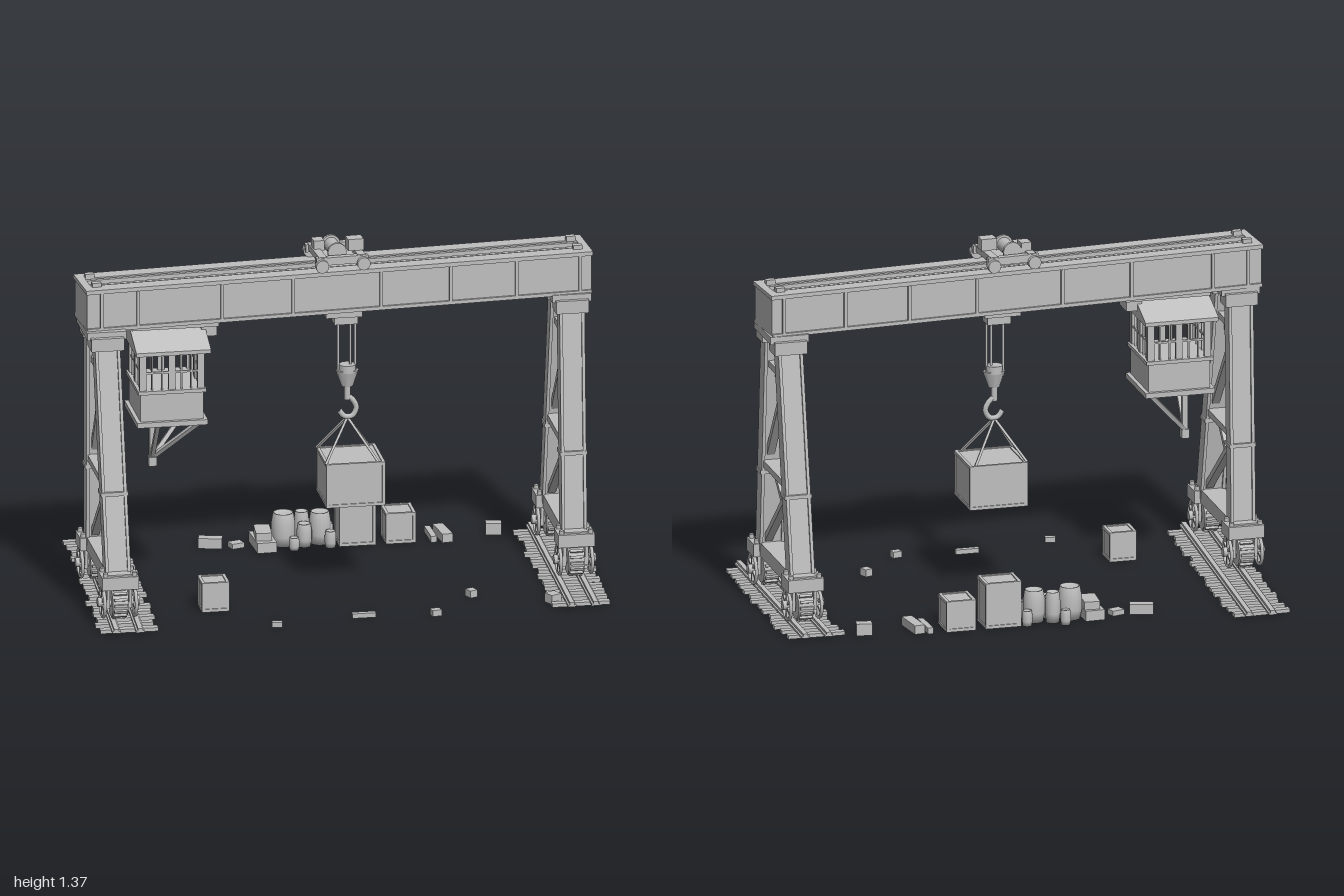
import * as THREE from 'three';

const steel = new THREE.MeshStandardMaterial({ color: 0xbfbfbf });
steel.name = 'plain grey';

// Seeded jitter for loosely laid pieces
let seed = 7;
const jitter = (a) => {
  seed = (seed * 16807) % 2147483647;
  return (seed / 2147483647 - 0.5) * 2 * a;
};

function add(parent, name, geo, x = 0, y = 0, z = 0) {
  const m = new THREE.Mesh(geo, steel);
  m.name = name;
  m.position.set(x, y, z);
  parent.add(m);
  return m;
}
function group(parent, name, x = 0, y = 0, z = 0) {
  const g = new THREE.Group();
  g.name = name;
  g.position.set(x, y, z);
  parent.add(g);
  return g;
}
const box = (p, name, w, h, d, x, y, z) => add(p, name, new THREE.BoxGeometry(w, h, d), x, y, z);
const rod = (p, name, r, h, x, y, z, n = 16) => add(p, name, new THREE.CylinderGeometry(r, r, h, n), x, y, z);
function axle(p, name, r, len, x, y, z, n = 16) {
  const m = rod(p, name, r, len, x, y, z, n);
  m.rotation.z = Math.PI / 2;
  return m;
}
// Bar from a to b; w is its size along x, d its size across
function bar(p, name, a, b, w, d) {
  const A = new THREE.Vector3(...a), B = new THREE.Vector3(...b);
  const dir = B.clone().sub(A), len = dir.length();
  dir.normalize();
  const m = box(p, name, w, len, d, 0, 0, 0);
  m.position.copy(A).add(B).multiplyScalar(0.5);
  m.quaternion.setFromUnitVectors(new THREE.Vector3(0, 1, 0), dir);
  return m;
}

// Track: two rails on loose sleepers
function track(root, x, z, len, yaw) {
  const g = group(root, 'track', x, 0, z);
  g.rotation.y = yaw;
  for (const s of [-1, 1]) {
    box(g, 'railFoot', 0.032, 0.008, len, s * 0.045, 0.016, 0);
    box(g, 'railHead', 0.018, 0.012, len, s * 0.045, 0.023, 0);
  }
  const n = Math.floor(len / 0.066);
  for (let i = 0; i < n; i++) {
    const t = box(g, 'sleeper', 0.22, 0.014, 0.03, jitter(0.012), 0.007, (i - (n - 1) / 2) * 0.066);
    t.rotation.y = -yaw + jitter(0.05);
  }
}

// Wheel unit: toothed wheel, outer rings, hub and housing
function bogie(frame, z) {
  const g = group(frame, 'wheelUnit', 0, 0.095, z);
  axle(g, 'wheel', 0.056, 0.06, 0, 0, 0, 24);
  for (let i = 0; i < 16; i++) {
    const a = (i / 16) * Math.PI * 2;
    const t = box(g, 'tooth', 0.05, 0.014, 0.01, 0, Math.cos(a) * 0.058, Math.sin(a) * 0.058);
    t.rotation.x = a;
  }
  axle(g, 'axle', 0.018, 0.16, 0, 0, 0);
  for (const s of [-1, 1]) {
    const ring = add(g, 'wheelRing', new THREE.TorusGeometry(0.055, 0.007, 8, 28), s * 0.06, 0, 0);
    ring.rotation.y = Math.PI / 2;
    for (let i = 0; i < 3; i++) {
      const spoke = box(g, 'spoke', 0.01, 0.11, 0.01, s * 0.06, 0, 0);
      spoke.rotation.x = (i * Math.PI) / 3;
    }
    box(g, 'sidePlate', 0.012, 0.1, 0.055, s * 0.042, 0.03, 0);
  }
  box(g, 'housing', 0.14, 0.05, 0.1, 0, 0.085, 0);
  for (const s of [-1, 1]) for (const t of [-1, 1]) rod(g, 'bolt', 0.01, 0.02, s * 0.055, 0.115, t * 0.035, 8);
}

// Trestle: two leaning legs, bottom beam and cross bracing
function trestle(root, x, z, topShift, lean) {
  const g = group(root, 'trestle', x, 0, z);
  const at = (s, y) => [lean * (y - 0.2), y, s * (0.215 - (y - 0.18) * 0.142) + topShift * ((y - 0.18) / 0.9)];
  for (const s of [-1, 1]) {
    bogie(g, s * 0.24);
    const a = at(s, 0.18), b = at(s, 1.08);
    bar(g, 'legWeb', a, b, 0.075, 0.045);
    for (const e of [-1, 1]) {
      const o = (p) => [p[0] + e * 0.042, p[1], p[2]];
      bar(g, 'legFlange', o(a), o(b), 0.012, 0.062);
    }
    const f = at(s, 0.5);
    box(g, 'legSplice', 0.105, 0.015, 0.065, ...f);
    const c = at(s, 1.06);
    box(g, 'legCap', 0.125, 0.05, 0.085, ...c);
  }
  box(g, 'bottomBeam', 0.09, 0.055, 0.55, 0, 0.183, 0);
  const c = at(0, 1.09);
  box(g, 'headPlate', 0.15, 0.03, 0.23, ...c);
  for (const [y, w] of [[0.535, 0.085], [0.94, 0.06]]) bar(g, 'crossTie', at(-1, y), at(1, y), w, 0.025);
  for (const [y0, y1] of [[0.21, 0.53], [0.55, 0.93]]) for (const s of [-1, 1]) {
    bar(g, 'diagonalBrace', at(s, y0), at(-s, y1), 0.03, 0.022).position.x += s * 0.012;
  }
}

// Bridge girder with webs, flanges, stiffeners and running rails
function bridge(g) {
  const L = 1.96;
  for (const s of [-1, 1]) {
    box(g, 'sideWeb', L - 0.02, 0.15, 0.012, 0, 1.18, s * 0.092);
    box(g, 'topFlange', L, 0.016, 0.06, 0, 1.257, s * 0.075);
    box(g, 'bottomFlange', L - 0.01, 0.014, 0.04, 0, 1.107, s * 0.087);
    box(g, 'runningRail', L - 0.06, 0.014, 0.016, 0, 1.256, s * 0.028);
    for (const x of [-0.92, -0.78, -0.455, -0.18, 0.16, 0.43, 0.685, 0.93])
      box(g, 'stiffener', 0.012, 0.14, 0.014, x, 1.18, s * 0.1);
    box(g, 'endWall', 0.014, 0.16, 0.19, s * (L / 2 - 0.012), 1.18, 0);
    box(g, 'endFlange', 0.03, 0.016, 0.21, s * (L / 2 - 0.015), 1.257, 0);
    for (const t of [-1, 1]) box(g, 'buffer', 0.035, 0.022, 0.025, s * 0.93, 1.27, t * 0.055);
  }
  box(g, 'upperDeck', L - 0.03, 0.01, 0.18, 0, 1.243, 0);
  box(g, 'lowerDeck', L - 0.03, 0.01, 0.18, 0, 1.125, 0);
}

// Trolley with wheels, drum and motor
function trolley(g) {
  for (const s of [-1, 1]) {
    box(g, 'trolleySideBeam', 0.2, 0.03, 0.025, 0, 1.305, s * 0.085);
    box(g, 'trolleyEndBeam', 0.03, 0.025, 0.19, s * 0.075, 1.31, 0);
    for (const t of [-1, 1]) {
      const w = rod(g, 'trolleyWheel', 0.025, 0.025, s * 0.08, 1.29, t * 0.1);
      w.rotation.x = Math.PI / 2;
    }
    const d = rod(g, 'drumFlange', 0.036, 0.012, -0.01, 1.325, s * 0.05, 20);
    d.rotation.x = Math.PI / 2;
  }
  box(g, 'trolleyBed', 0.13, 0.012, 0.16, 0, 1.3, 0);
  rod(g, 'drum', 0.027, 0.1, -0.01, 1.325, 0, 20).rotation.x = Math.PI / 2;
  box(g, 'motor', 0.06, 0.045, 0.05, 0.065, 1.345, 0.02);
  box(g, 'gearbox', 0.04, 0.04, 0.05, -0.065, 1.335, -0.03);
}

// Hoist: ropes, hook block, hook, slings
function hoist(g) {
  box(g, 'sheaveBox', 0.14, 0.04, 0.1, -0.02, 1.085, 0);
  box(g, 'sheaveHousing', 0.09, 0.035, 0.07, -0.01, 1.05, 0);
  for (const x of [-0.035, 0.012, 0.03]) rod(g, 'rope', 0.005, 0.27, x, 0.955, 0, 8);
  add(g, 'hookBlock', new THREE.CylinderGeometry(0.045, 0.022, 0.065, 8), 0, 0.81, 0).scale.z = 0.7;
  rod(g, 'blockTop', 0.032, 0.03, 0, 0.85, 0, 12);
  rod(g, 'hookShank', 0.012, 0.06, 0, 0.755, 0, 12);
  const pts = [[0, 0.74], [0.022, 0.72], [0.034, 0.69], [0.018, 0.66], [-0.012, 0.66], [-0.032, 0.685]];
  const path = new THREE.CatmullRomCurve3(pts.map(([x, y]) => new THREE.Vector3(x, y, 0)));
  add(g, 'hook', new THREE.TubeGeometry(path, 24, 0.011, 8));
  for (const s of [-1, 1]) for (const t of [-1, 1]) bar(g, 'sling', [0, 0.655, 0], [s * 0.1, 0.505, t * 0.1], 0.009, 0.009);
}

// Crate with a slightly raised frame on every edge
function crate(p, name, w, h, d, x, y, z, yaw = 0) {
  const g = group(p, name, x, y + h / 2, z), e = 0.012;
  g.rotation.y = yaw;
  box(g, 'crateBody', w - 0.008, h - 0.008, d - 0.008, 0, 0, 0);
  for (const s of [-1, 1]) for (const t of [-1, 1]) {
    const u = (v) => s * (v / 2 - e / 2), k = (v) => t * (v / 2 - e / 2);
    box(g, 'crateEdge', w, e, e, 0, u(h), k(d));
    box(g, 'crateEdge', e, h, e, u(w), 0, k(d));
    box(g, 'crateEdge', e, e, d, u(w), k(h), 0);
  }
}

// Operator cabin with open windows, gable roof and prop
function cabin(root) {
  const g = group(root, 'cabin', -0.657, 0, 0.125);
  const W = 0.24, D = 0.25;
  box(g, 'cabinFloor', W + 0.03, 0.02, D + 0.03, 0, 0.725, 0);
  box(g, 'cabinSill', W + 0.02, 0.014, D + 0.02, 0, 0.85, 0);
  const wall = (yaw, width, off) => {
    const f = group(g, 'cabinWall');
    f.rotation.y = yaw;
    box(f, 'lowerWall', width, 0.13, 0.012, 0, 0.785, off);
    box(f, 'header', width, 0.03, 0.012, 0, 1.005, off);
    for (const x of [-0.46, 0, 0.46]) box(f, 'windowPost', 0.026, 0.15, 0.014, x * width, 0.925, off);
    for (const x of [-0.31, -0.155, 0.155, 0.31]) box(f, 'windowBar', 0.006, 0.14, 0.008, x * width, 0.925, off);
    box(f, 'windowBar', width, 0.007, 0.008, 0, 0.925, off);
  };
  for (let i = 0; i < 4; i++) wall((i * Math.PI) / 2, i % 2 ? D : W, (i % 2 ? W : D) / 2 - 0.006);
  const gable = new THREE.Shape([[-0.165, 1.005], [0.165, 1.005], [0.165, 1.02], [0, 1.08], [-0.165, 1.02]].map((p) => new THREE.Vector2(...p)));
  const roof = add(g, 'cabinRoof', new THREE.ExtrudeGeometry(gable, { depth: 0.285, bevelEnabled: false }), -0.1425, 0, 0);
  roof.rotation.y = Math.PI / 2;
  box(g, 'hangerPlate', 0.33, 0.025, 0.12, 0.025, 1.087, 0);
  box(g, 'hangerBracket', 0.06, 0.05, 0.1, 0.155, 1.06, 0);
  box(g, 'propPost', 0.022, 0.2, 0.022, -0.05, 0.615, -0.02);
  box(g, 'propFoot', 0.03, 0.035, 0.03, -0.05, 0.53, -0.02);
  for (const z of [-0.11, 0.11]) bar(g, 'propBrace', [-0.05, 0.545, -0.02], [0.11, 0.72, z], 0.016, 0.016);
  bar(g, 'propBrace', [-0.05, 0.545, -0.02], [-0.05, 0.72, 0.11], 0.016, 0.016);
}

// Barrel turned from a bulging profile
function barrel(p, x, z, r, h) {
  const prof = [[0, 0], [0.85, 0], [1, 0.3], [1, 0.7], [0.85, 1], [0.75, 1], [0.75, 0.95], [0, 0.95]];
  add(p, 'barrel', new THREE.LatheGeometry(prof.map(([a, b]) => new THREE.Vector2(a * r, b * h)), 16), x, 0, z);
}

function goods(root) {
  const g = group(root, 'groundGoods');
  crate(g, 'crate', 0.105, 0.115, 0.105, -0.507, 0, 0.297);
  crate(g, 'crate', 0.14, 0.178, 0.12, 0.153, 0, -0.385);
  crate(g, 'crate', 0.115, 0.12, 0.12, 0.318, 0, -0.385);
  for (const [x, z, r, h] of [[-0.12, -0.39, 0.046, 0.128], [0.02, -0.39, 0.042, 0.125], [-0.045, -0.42, 0.029, 0.12],
    [-0.045, -0.36, 0.029, 0.09], [-0.083, -0.465, 0.02, 0.06], [0.06, -0.44, 0.02, 0.06], [0.05, -0.33, 0.022, 0.065],
    [-0.09, -0.32, 0.02, 0.05]]) barrel(g, x, z, r, h);
  // Stacked boards and loose pieces: x, y, z, width, height, depth, yaw
  for (const [x, y, z, w, h, d, a] of [
    [-0.2, 0.02, -0.375, 0.075, 0.04, 0.15, 0.05], [-0.2, 0.055, -0.38, 0.06, 0.03, 0.11, -0.08],
    [-0.395, 0.02, -0.405, 0.09, 0.04, 0.04, -0.25], [-0.3, 0.01, -0.39, 0.05, 0.02, 0.04, 0.3],
    [0.44, 0.012, -0.38, 0.022, 0.024, 0.13, 0.03], [0.485, 0.017, -0.37, 0.04, 0.034, 0.13, 0.12],
    [0.68, 0.023, -0.38, 0.06, 0.046, 0.04, -0.15], [0.76, 0.018, 0.455, 0.045, 0.036, 0.045, 0.5],
    [0.47, 0.014, 0.335, 0.032, 0.028, 0.036, 0.4], [0.3, 0.012, 0.53, 0.036, 0.024, 0.03, 0.2],
    [0.03, 0.009, 0.505, 0.09, 0.018, 0.022, 0], [-0.31, 0.01, 0.56, 0.04, 0.02, 0.024, -0.2],
  ]) box(g, 'loosePiece', w, h, d, x, y, z).rotation.y = a;
}

export function createModel() {
  seed = 7;
  const root = new THREE.Group();
  root.name = 'gantryCrane';
  track(root, -0.845, -0.01, 1.17, -0.06);
  track(root, 0.865, 0.075, 0.97, -0.01);
  trestle(root, -0.895, 0.2, -0.045, -0.015);
  trestle(root, 0.88, 0, 0.02, 0.01);
  const span = group(root, 'bridge', -0.012, 0, 0.08);
  span.rotation.y = 0.067;
  bridge(span);
  const cart = group(root, 'trolley', 0, 0, 0.08);
  cart.rotation.y = 0.067;
  trolley(cart);
  hoist(group(root, 'hoist', 0.04, 0, 0.09));
  crate(root, 'hangingLoad', 0.225, 0.172, 0.225, 0.053, 0.335, 0.09);
  cabin(root);
  goods(root);
  return root;
}
